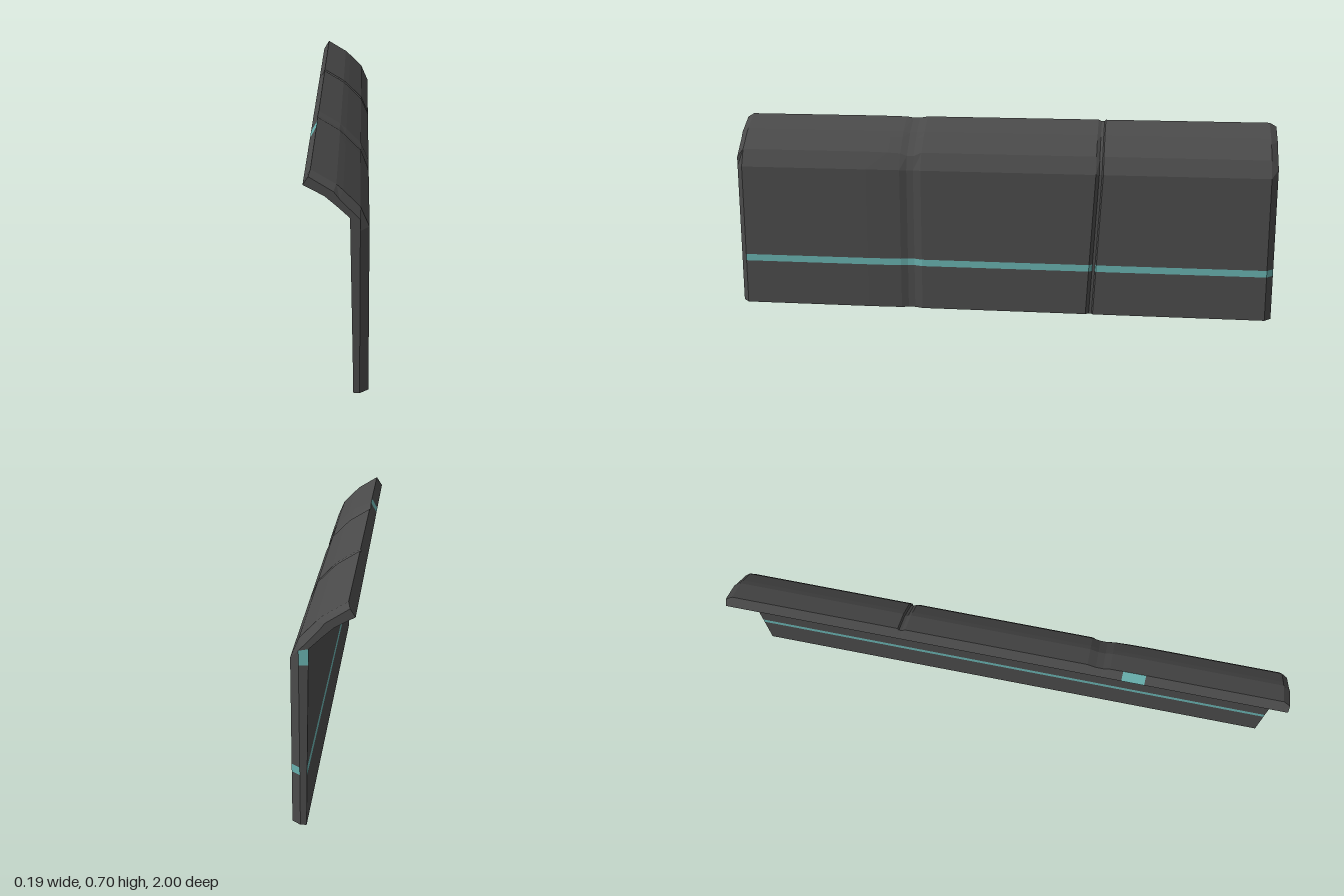
import * as THREE from 'three';

// Cross-section points [x, y], listed from the foot up to the lip
const OUTER = [[0.097, 0], [0.097, 0.165], [0.097, 0.19], [0.097, 0.515], [0.097, 0.53],
  [0.07, 0.592], [0.02, 0.642], [0, 0.66], [-0.075, 0.705]];
// Outer side pulled in, used for the end chamfers and (partly) for the seams
const INSET = [[0.07, 0], [0.07, 0.165], [0.07, 0.19], [0.07, 0.515], [0.07, 0.525],
  [0.07, 0.56], [0.01, 0.622], [-0.008, 0.645], [-0.081, 0.69]];
const INNER = [[0.051, 0], [0.048, 0.165], [0.0475, 0.19], [0.041, 0.515], [0.0405, 0.54],
  [0.04, 0.565], [0, 0.602], [-0.035, 0.632], [-0.097, 0.665]];

// Stations along the length: z, inset amount, slant of z with height
const STATIONS = [[1, 1, 0], [0.975, 0, 0], [0.5, 0, 0], [0.42, 0.05, 0], [0.375, 0.12, 0],
  [0.35, 0.4, 0], [0.325, 0.4, 0], [0.295, 0, 0], [-0.32, 0, -0.03], [-0.332, 0.4, -0.03],
  [-0.342, 0.4, -0.03], [-0.347, 0, -0.03], [-0.975, 0, 0], [-1, 1, 0]];

const LAST = OUTER.length - 1;
const COUNT = OUTER.length * 2;

// Closed ring of points: up the outer side, back down the inner side
function ring([z, inset, slant]) {
  const outer = OUTER.map(([x, y], i) => [
    THREE.MathUtils.lerp(x, INSET[i][0], inset),
    THREE.MathUtils.lerp(y, INSET[i][1], inset),
  ]);
  return [...outer, ...INNER.slice().reverse()].map(([x, y]) => [x, y, z + slant * Math.min(y / 0.53, 1)]);
}

function facetedMesh(name, positions, material) {
  const geometry = new THREE.BufferGeometry();
  geometry.setAttribute('position', new THREE.Float32BufferAttribute(positions, 3));
  geometry.computeVertexNormals();
  const mesh = new THREE.Mesh(geometry, material);
  mesh.name = name;
  return mesh;
}

export function createModel() {
  const darkGrey = new THREE.MeshStandardMaterial({ color: 0x4a4a4a });
  darkGrey.name = 'darkGrey';
  const teal = new THREE.MeshStandardMaterial({ color: 0x68b0ae });
  teal.name = 'teal';

  const panel = [], stripes = [], markers = [];
  const quad = (list, a, b, c, d) => list.push(...a, ...b, ...c, ...a, ...c, ...d);
  const rings = STATIONS.map(ring);

  // Long faces, sorted into wall, stripes and marker patches
  for (let k = 0; k < rings.length - 1; k++) {
    for (let i = 0; i < COUNT; i++) {
      const j = (i + 1) % COUNT;
      const outerStripe = i === 1 && k > 0 && k !== 9;
      const innerStripe = i === COUNT - 3;
      const marker = k === 2 && (i === LAST || i === COUNT - 1);
      const list = outerStripe || innerStripe ? stripes : marker ? markers : panel;
      quad(list, rings[k][i], rings[k + 1][i], rings[k + 1][j], rings[k][j]);
    }
  }

  // End caps, with a marker patch at the bend of the back end
  const front = rings[0], back = rings[rings.length - 1];
  for (let i = 0; i < LAST; i++) {
    const m = COUNT - 1 - i;
    quad(panel, front[i], front[i + 1], front[m - 1], front[m]);
    quad(i === 3 || i === 4 ? markers : panel, back[m], back[m - 1], back[i + 1], back[i]);
  }

  const group = new THREE.Group();
  group.name = 'curvedWallPanel';
  group.add(
    facetedMesh('wallPanel', panel, darkGrey),
    facetedMesh('lightStripes', stripes, teal),
    facetedMesh('edgeMarkers', markers, teal),
  );
  return group;
}
